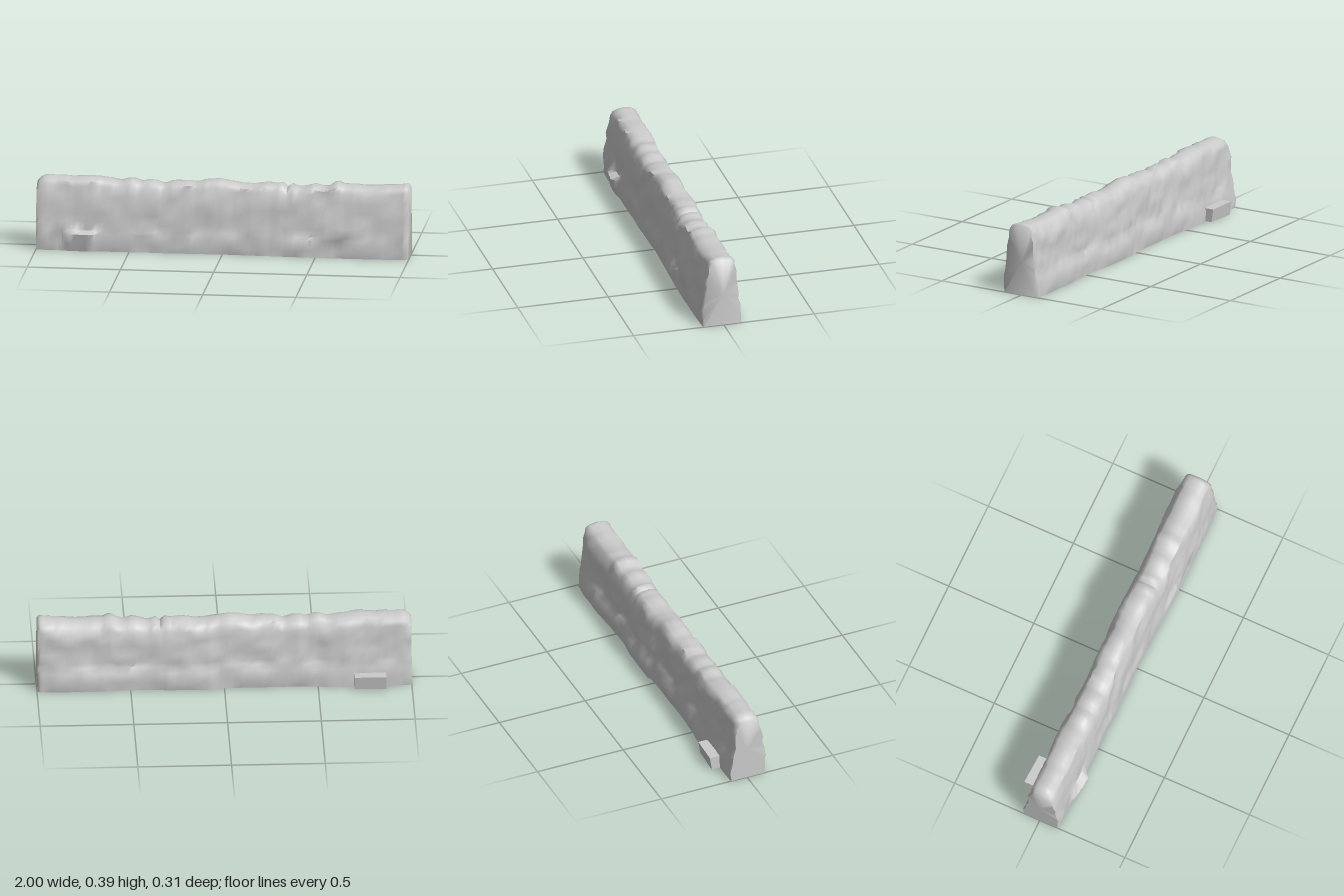
import * as THREE from 'three';
import { toCreasedNormals } from 'three/addons/utils/BufferGeometryUtils.js';

// The wall is a hollow shell, open underneath
const material = new THREE.MeshStandardMaterial({ color: 0xcccccc, roughness: 0.9, side: THREE.DoubleSide });

// Seeded value in -1..1 for a grid cell
function hash(i, j) {
  const s = Math.sin(i * 127.1 + j * 311.7 + 4.2) * 43758.5453;
  return (s - Math.floor(s)) * 2 - 1;
}

// Linear lookup in a list of [x, value]
function lookup(table, x) {
  let k = 0;
  while (k < table.length - 2 && x > table[k + 1][0]) k++;
  const [x0, v0] = table[k], [x1, v1] = table[k + 1];
  return THREE.MathUtils.lerp(v0, v1, THREE.MathUtils.clamp((x - x0) / (x1 - x0), 0, 1));
}

// Ragged top line, and how far the foot reaches to the front and back
const TOP = [[-1, 0.365], [-0.97, 0.387], [-0.8, 0.382], [-0.72, 0.39], [-0.6, 0.377], [-0.57, 0.364],
  [-0.5, 0.385], [-0.43, 0.366], [-0.4, 0.38], [-0.3, 0.355], [-0.28, 0.375], [-0.15, 0.375], [-0.02, 0.391],
  [0.1, 0.368], [0.29, 0.378], [0.32, 0.38], [0.34, 0.358], [0.37, 0.378], [0.4, 0.356], [0.44, 0.37],
  [0.5, 0.378], [0.55, 0.362], [0.605, 0.397], [0.64, 0.38], [0.8, 0.378], [0.98, 0.39], [1, 0.387]];
const FRONT = [[-1, 0.112], [-0.6, 0.116], [-0.3, 0.113], [0, 0.108], [0.2, 0.113], [0.35, 0.117],
  [0.45, 0.123], [0.65, 0.123], [0.85, 0.124], [1, 0.117]];
const BACK = [[-1, 0.097], [-0.7, 0.1], [-0.67, 0.11], [-0.55, 0.109], [-0.52, 0.1], [-0.35, 0.096],
  [-0.1, 0.097], [0.04, 0.1], [0.07, 0.114], [0.28, 0.113], [0.4, 0.1], [0.6, 0.104], [0.75, 0.113],
  [0.9, 0.114], [1, 0.1]];
// Front stone bulging from the foot: strength along x, then reach at each height share
const BULGE = [[-0.86, 0], [-0.83, 0.8], [-0.76, 1], [-0.7, 1], [-0.67, 0]];
const BULGE_REACH = [[0, 0.008], [0.1, 0.024], [0.25, 0.038], [0.28, 0]];

// Half section: [share of foot depth, share of height]
const FRONT_SIDE = [[0.98, 0], [1, 0.1], [0.98, 0.25], [0.95, 0.29], [0.91, 0.41], [0.87, 0.53], [0.82, 0.65],
  [0.75, 0.78], [0.66, 0.9], [0.56, 0.96], [0.32, 0.99]];
const BACK_SIDE = [[0.36, 0.985], [0.54, 0.94], [0.65, 0.86], [0.71, 0.76], [0.73, 0.66], [0.76, 0.54],
  [0.8, 0.42], [0.84, 0.35], [0.96, 0.27], [1, 0.13], [0.96, 0]];

// Open section of [z, y] at station x; relief is shared by neighbouring stations like single stones
function section(x, i, isEnd) {
  const h = lookup(TOP, x) + hash(i, 200) * 0.003;
  const shrink = isEnd ? 0.95 : 1;
  const side = (points, depth, sign, seed) => points.map(([w, t], j) => {
    const rough = t === 0 ? 0.002 : 0.007;
    const relief = hash(Math.floor((i + 2 * (j % 2)) / 4), j + seed) * rough + hash(i, j + seed + 40) * rough * 0.25;
    const bulge = sign > 0 ? lookup(BULGE, x) * lookup(BULGE_REACH, t) : 0;
    const lift = t === 0 || t > 0.9 || bulge ? 0 : hash(i, j + seed + 80) * 0.004;
    return [sign * (depth * w + relief + bulge) * shrink, t * h * (isEnd && t > 0.8 ? 0.98 : 1) + lift];
  });
  return [...side(FRONT_SIDE, lookup(FRONT, x), 1, 0),
    [0.01, h * (isEnd ? 0.985 : 1)],
    ...side(BACK_SIDE, lookup(BACK, x), -1, 20)];
}

function wallGeometry() {
  const xs = [-1, -0.985];
  for (let x = -0.96; x < 0.97; x += 0.025) xs.push(x);
  xs.push(0.982, 0.996);
  const last = xs.length - 1;
  const rings = xs.map((x, i) => section(x, i, i === 0 || i === last));
  const n = rings[0].length;
  const positions = [], index = [];
  rings.forEach((ring, i) => ring.forEach(([z, y]) => positions.push(xs[i], y, z)));
  for (let i = 0; i < last; i++) {
    for (let j = 0; j < n - 1; j++) {
      const a = i * n + j, b = a + n;
      index.push(a, b, b + 1, a, b + 1, a + 1);
    }
  }
  // End faces
  for (const i of [0, last]) {
    const centre = positions.length / 3;
    positions.push(xs[i] + (i ? 0.004 : 0), 0.18, 0);
    for (let j = 0; j < n; j++) {
      const a = i * n + j, b = i * n + (j + 1) % n;
      if (i) index.push(centre, b, a);
      else index.push(centre, a, b);
    }
  }
  const geometry = new THREE.BufferGeometry();
  geometry.setAttribute('position', new THREE.Float32BufferAttribute(positions, 3));
  geometry.setIndex(index);
  return toCreasedNormals(geometry, 1.1);
}

// Block leaning inward towards its base, with an uneven top
function footStoneGeometry() {
  const geometry = new THREE.BoxGeometry(0.17, 0.076, 0.06);
  const p = geometry.attributes.position;
  for (let i = 0; i < p.count; i++) {
    const top = p.getY(i) > 0, right = p.getX(i) > 0;
    if (top) p.setY(i, p.getY(i) - (right ? 0.004 : 0));
    else p.setZ(i, p.getZ(i) + 0.011);
    if (right && p.getZ(i) < 0) p.setZ(i, p.getZ(i) + 0.008);
  }
  return toCreasedNormals(geometry, 0.6);
}

export function createModel() {
  const model = new THREE.Group();
  model.name = 'stoneWall';

  const wall = new THREE.Mesh(wallGeometry(), material);
  wall.name = 'wallShell';

  const footStone = new THREE.Mesh(footStoneGeometry(), material);
  footStone.name = 'backFootStone';
  footStone.position.set(-0.777, 0.04, -0.125);

  model.add(wall, footStone);
  return model;
}
